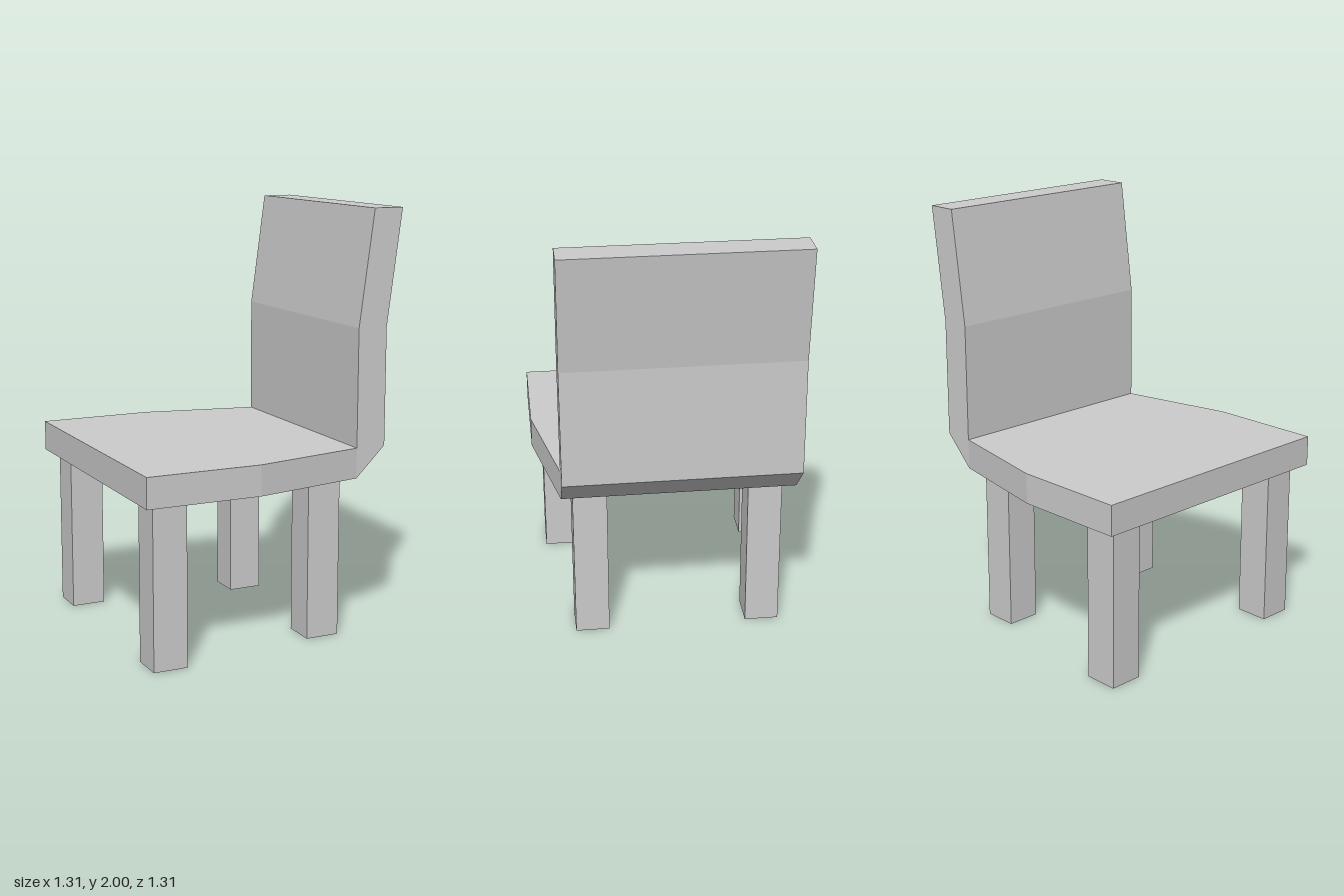
import * as THREE from 'three';

const material = new THREE.MeshStandardMaterial({ color: 0xcccccc, flatShading: true });

// Extrudes an outline of [x, y] points to the given depth, starting at z = 0
function slab(points, depth) {
  const shape = new THREE.Shape(points.map(([x, y]) => new THREE.Vector2(x, y)));
  return new THREE.ExtrudeGeometry(shape, { depth, bevelEnabled: false });
}

export function createModel() {
  const chair = new THREE.Group();
  chair.name = 'chair';

  const add = (name, geometry) => {
    const mesh = new THREE.Mesh(geometry, material);
    mesh.name = name;
    chair.add(mesh);
    return mesh;
  };

  const seatBottom = 0.762, seatTop = 0.905;
  const seatHalf = 0.655, backHalf = 0.545, joinX = 0.437;

  // Seat: flat slab tapering towards the backrest
  const side = [[-0.657, seatHalf], [-0.11, seatHalf], [joinX, backHalf]];
  const mirrored = side.map(([x, z]) => [x, -z]).reverse();
  const seat = slab([...side, ...mirrored], seatTop - seatBottom);
  seat.rotateX(-Math.PI / 2);
  seat.translate(0, seatBottom, 0);
  add('seat', seat);

  // Backrest: bent profile with a chamfer at the lower rear edge
  const back = slab([
    [joinX, seatBottom], [0.583, seatTop], [0.583, 1.46], [0.655, 2],
    [0.51, 2], [joinX, 1.46], [joinX, seatTop],
  ], 2 * backHalf);
  back.translate(0, 0, -backHalf);
  add('backrest', back);

  // Legs: the pair under the backrest stands closer together
  const legs = [
    { name: 'frontLeg', x: -0.523, z: 0.513 },
    { name: 'backLeg', x: 0.298, z: 0.41 },
  ];
  for (const { name, x, z } of legs) {
    for (const s of [1, -1]) {
      const leg = add(name, new THREE.BoxGeometry(0.163, seatBottom, 0.16));
      leg.position.set(x, seatBottom / 2, s * z);
    }
  }

  return chair;
}
